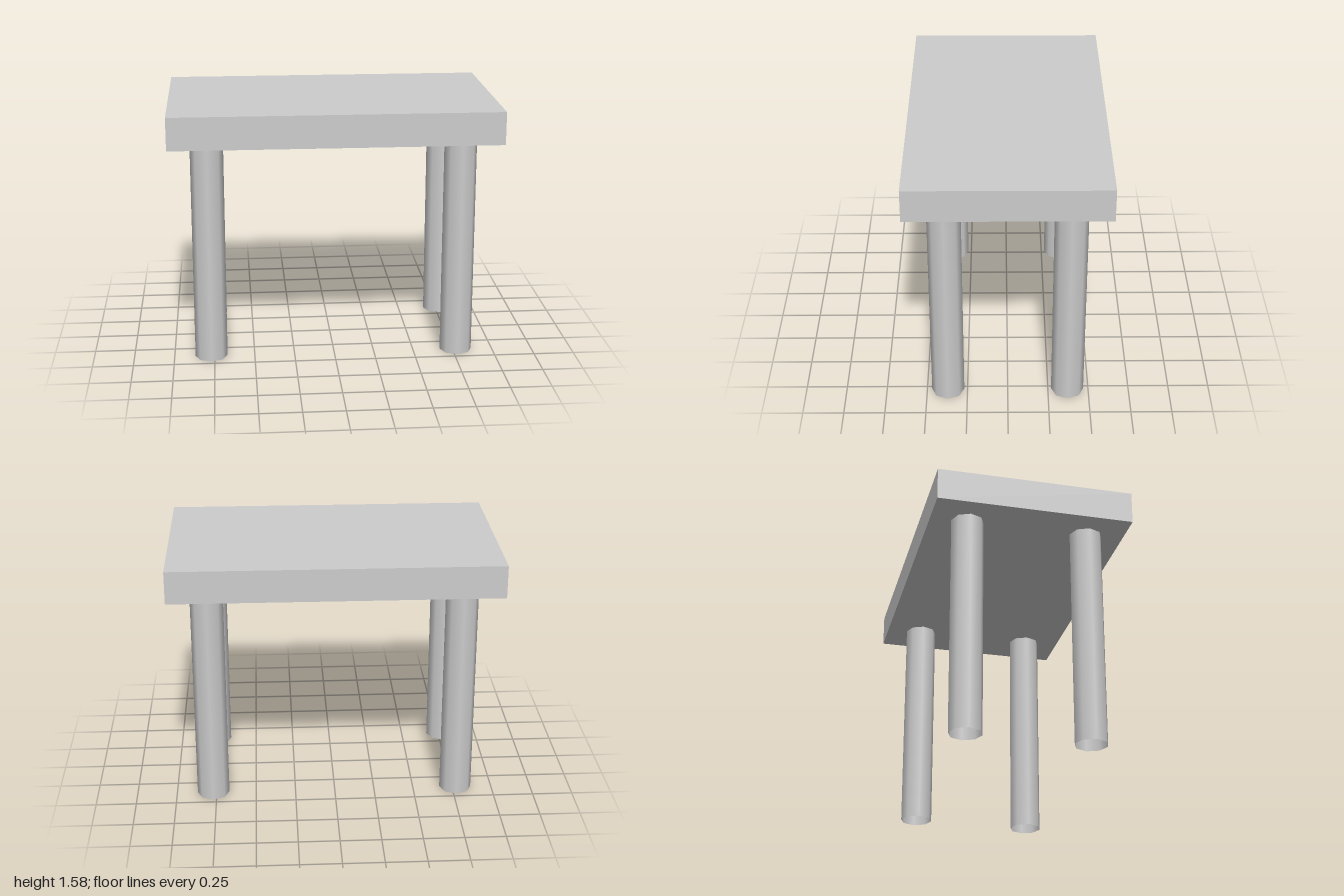
import * as THREE from 'three';

export function createModel() {
  const model = new THREE.Group();
  model.name = 'table';

  const legHeight = 1.38, topThickness = 0.2;
  const material = new THREE.MeshStandardMaterial({ color: 0xcccccc });
  const legMaterial = new THREE.MeshStandardMaterial({ color: 0xcccccc, side: THREE.DoubleSide });

  // Slab top
  const top = new THREE.Mesh(new THREE.BoxGeometry(2, topThickness, 1.2), material);
  top.name = 'tabletop';
  top.position.y = legHeight + topThickness / 2;
  model.add(top);

  // Four hollow, open-ended legs, smooth shaded with eight sides
  const legGeometry = new THREE.CylinderGeometry(0.1, 0.1, legHeight, 8, 1, true);
  for (const [zName, z] of [['front', 0.37], ['back', -0.37]]) {
    for (const [xName, x] of [['Left', 0.77], ['Right', -0.77]]) {
      const leg = new THREE.Mesh(legGeometry, legMaterial);
      leg.name = `${zName}${xName}Leg`;
      leg.position.set(x, legHeight / 2, z);
      model.add(leg);
    }
  }

  return model;
}
